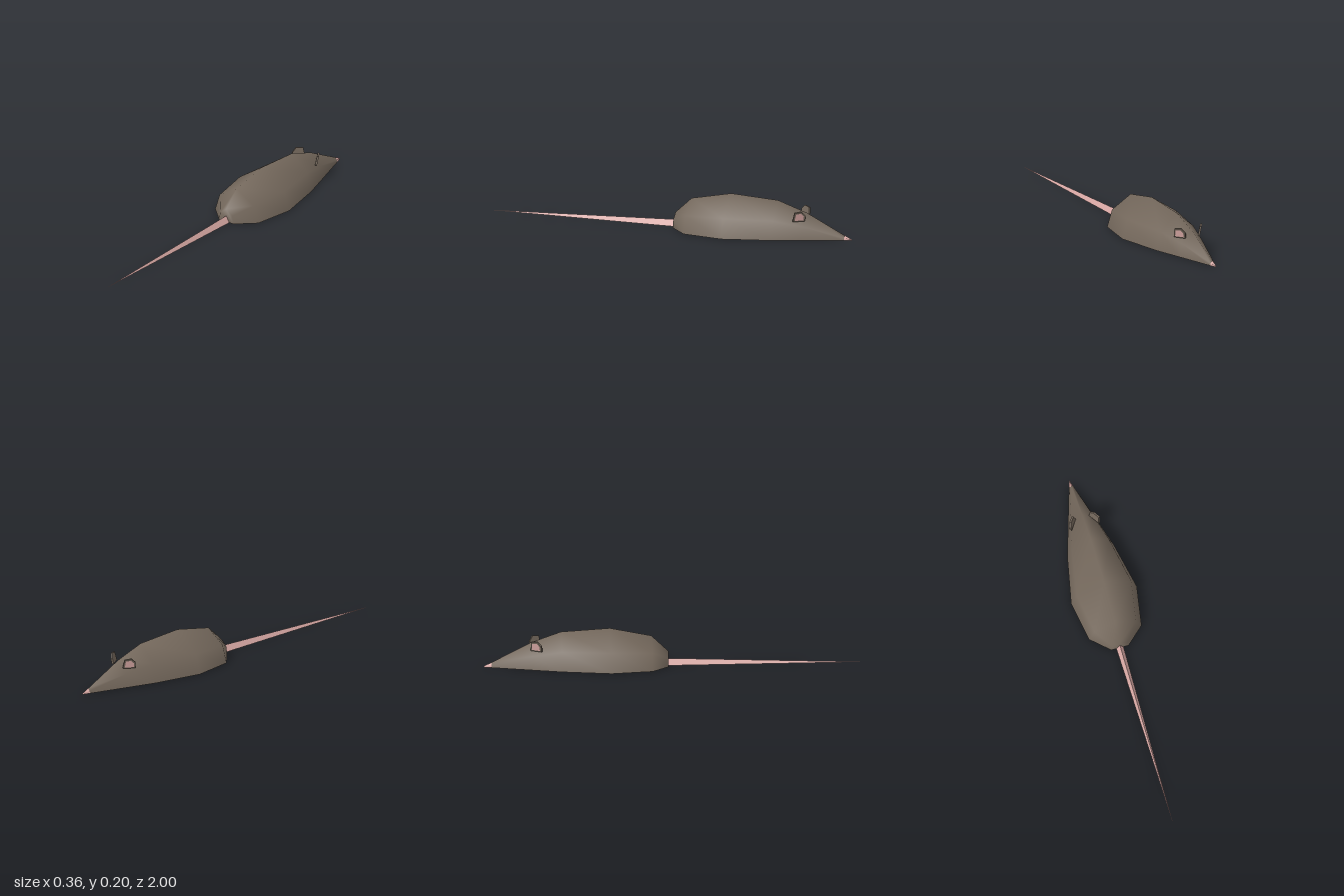
import * as THREE from 'three';

const fur = new THREE.MeshStandardMaterial({ color: 0x73675b });
fur.name = 'brown fur';
const skin = new THREE.MeshStandardMaterial({ color: 0xd9a9a5 });
skin.name = 'pink skin';

// Five-point arch: base, shoulder, ridge, shoulder, base
const arch = ([z, w, mw, mh, h]) => [
  [w, 0, z], [mw, mh, z], [0, h, z], [-mw, mh, z], [-w, 0, z],
];

// Skins arches from the tail end towards the nose, with a rear cap
function loft(rings, flat) {
  const index = [];
  for (let j = 1; j < 4; j++) index.push(0, j, j + 1);
  for (let i = 0; i < rings.length - 1; i++) {
    for (let j = 0; j < 4; j++) {
      const a = i * 5 + j, c = a + 5;
      index.push(a, c, a + 1, a + 1, c, c + 1);
    }
  }
  return finish(rings.flatMap(arch), index, flat);
}

// Flat underside between the base points
function underside(rings) {
  const points = rings.flatMap(([z, w]) => [[w, 0, z], [-w, 0, z]]);
  const index = [];
  for (let i = 0; i < rings.length - 1; i++) {
    const a = i * 2;
    index.push(a, a + 1, a + 2, a + 1, a + 3, a + 2);
  }
  return finish(points, index, true);
}

function finish(points, index, flat) {
  let g = new THREE.BufferGeometry();
  g.setAttribute('position', new THREE.Float32BufferAttribute(points.flat(), 3));
  g.setIndex(index);
  if (flat) g = g.toNonIndexed();
  g.computeVertexNormals();
  return g;
}

function part(name, geometry, material) {
  const mesh = new THREE.Mesh(geometry, material);
  mesh.name = name;
  return mesh;
}

function earShape(s) {
  const pts = [[-0.034, 0], [0.034, 0], [0.034, 0.032], [0.012, 0.055], [-0.026, 0.05]];
  return new THREE.Shape(pts.map(([x, y]) => new THREE.Vector2(x * s, 0.025 + (y - 0.025) * s)));
}

function makeEar(side) {
  const ear = new THREE.Group();
  ear.name = side > 0 ? 'leftEar' : 'rightEar';
  const back = new THREE.ExtrudeGeometry(earShape(1), { depth: 0.01, bevelEnabled: false });
  const inner = new THREE.ShapeGeometry(earShape(0.72));
  inner.translate(0, 0, 0.0115);
  ear.add(part('earShell', back, fur), part('innerEar', inner, skin));
  // Faces outwards and towards the nose, leaning out a little
  ear.rotation.set(0.2, side * 2.16, 0, 'YXZ');
  ear.position.set(side * 0.055, 0.1, -0.72);
  return ear;
}

export function createModel() {
  const group = new THREE.Group();
  group.name = 'mouse';

  // z, base half width, shoulder half width, shoulder height, ridge height
  const bodyRings = [
    [-0.02, 0.048, 0.04, 0.045, 0.075],
    [-0.11, 0.145, 0.114, 0.092, 0.16],
    [-0.33, 0.181, 0.15, 0.104, 0.204],
    [-0.59, 0.128, 0.102, 0.1, 0.188],
    [-0.75, 0.079, 0.062, 0.07, 0.132],
    [-0.96, 0.014, 0.011, 0.013, 0.025],
  ];
  group.add(part('body', loft(bodyRings), fur));
  group.add(part('belly', underside(bodyRings), fur));

  // Pink nose tip
  const noseRings = [bodyRings[5], [-1, 0.001, 0.001, 0.003, 0.006]];
  group.add(part('nose', loft(noseRings, true), skin));
  group.add(part('noseUnderside', underside(noseRings), skin));

  // Long tapering tail with a triangular section
  const tailRings = [[1, 0.0005, 0.00025, 0.0005, 0.001], [-0.03, 0.02, 0.01, 0.0175, 0.035]];
  group.add(part('tail', loft(tailRings, true), skin));
  group.add(part('tailUnderside', underside(tailRings), skin));

  for (const side of [1, -1]) group.add(makeEar(side));
  return group;
}
